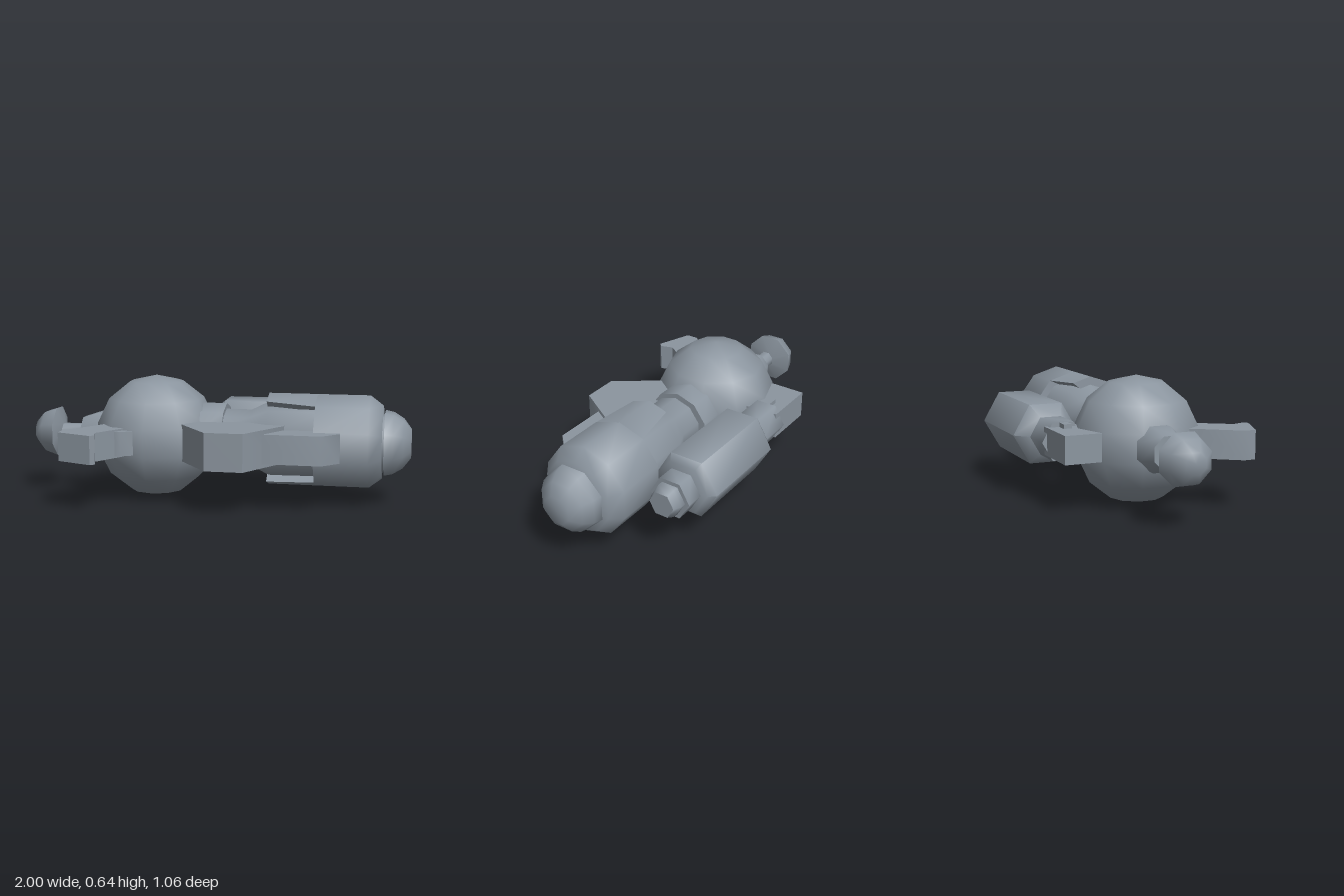
import * as THREE from 'three';
import { toCreasedNormals } from 'three/addons/utils/BufferGeometryUtils.js';

const AXIS_Y = 0.325;

export function createModel() {
  const model = new THREE.Group();
  const grey = new THREE.MeshStandardMaterial({ color: 0x8b959f });
  grey.name = 'blue grey';

  function add(name, geometry, x = 0, y = AXIS_Y, z = 0, crease = 1.1) {
    const mesh = new THREE.Mesh(toCreasedNormals(geometry, crease), grey);
    mesh.name = name;
    mesh.position.set(x, y, z);
    model.add(mesh);
    return mesh;
  }

  // Faceted solid turned about the x axis; profile holds [x, radius]
  function turned(name, sides, start, z, profile) {
    const pts = [[profile[0][0], 0], ...profile, [profile[profile.length - 1][0], 0]];
    const geo = new THREE.LatheGeometry(pts.map(([x, r]) => new THREE.Vector2(r, x)), sides, start);
    geo.rotateZ(-Math.PI / 2);
    return add(name, geo, 0, AXIS_Y, z);
  }

  // Flat block outlined in x and z, with its thickness along y
  function block(name, outline, height) {
    const shape = new THREE.Shape(outline.map(([x, z]) => new THREE.Vector2(x, z)));
    const geo = new THREE.ExtrudeGeometry(shape, { depth: height, bevelEnabled: false });
    geo.translate(0, 0, -height / 2);
    geo.rotateX(Math.PI / 2);
    return add(name, geo, 0, 0.328, 0, 0.8);
  }

  // Closed solid lofted between rings of [x, y, z] corners
  function loft(rings) {
    const n = rings[0].length;
    const index = [];
    for (let r = 0; r < rings.length - 1; r++) {
      for (let i = 0; i < n; i++) {
        const a = r * n + i, b = r * n + (i + 1) % n;
        index.push(a, b, a + n, b, b + n, a + n);
      }
    }
    const last = (rings.length - 1) * n;
    for (let i = 1; i < n - 1; i++) {
      index.push(0, i + 1, i, last, last + i, last + i + 1);
    }
    const geo = new THREE.BufferGeometry();
    geo.setAttribute('position', new THREE.Float32BufferAttribute(rings.flat(2), 3));
    geo.setIndex(index);
    return geo;
  }

  const TOP = Math.PI / 2;

  // Round chamber
  const ball = new THREE.SphereGeometry(0.321, 10, 7);
  ball.rotateY(Math.PI / 10);
  add('chamber', ball, -0.33, 0.324, 0.005);

  // Collar, neck and barrel
  turned('collar', 10, TOP, 0, [[-0.08, 0.178], [0.045, 0.178]]);
  turned('neck', 10, TOP, 0.01, [[-0.1, 0.15], [0.18, 0.15], [0.28, 0.2], [0.55, 0.2]]);
  turned('barrel', 10, TOP, 0.01, [[0.52, 0.24], [0.79, 0.24], [0.855, 0.19]]);
  turned('muzzleJoint', 8, Math.PI / 8, 0.015, [[0.84, 0.15], [0.88, 0.15]]);
  turned('muzzle', 8, Math.PI / 8, 0.015, [[0.865, 0.172], [0.91, 0.162], [0.96, 0.13], [1, 0.075]]);

  // Tapered tongues reaching back from the barrel, above and below
  const tongueRing = (x, half, side) =>
    [[x, 0.24, 0], [x, side, half], [x, 0.13, 0], [x, side, -half]];
  for (const turn of [0, Math.PI]) {
    const geo = loft([tongueRing(0.27, 0.1, 0.208), tongueRing(0.53, 0.141, 0.194)]);
    add(turn ? 'lowerTongue' : 'upperTongue', geo, 0, AXIS_Y, 0.01, 0.8).rotation.x = turn;
  }

  // Rear plunger: cuff, rod and knob
  turned('cuff', 8, Math.PI / 8, -0.01, [[-0.735, 0.088], [-0.65, 0.118], [-0.58, 0.118]]);
  turned('rod', 8, Math.PI / 8, -0.01, [[-0.88, 0.045], [-0.7, 0.045]]);
  turned('knob', 8, Math.PI / 8, -0.015,
    [[-1, 0.055], [-0.95, 0.112], [-0.88, 0.135], [-0.85, 0.04]]);

  // Grip, trigger and front hand guard
  block('grip', [[-0.56, 0.15], [-0.6, 0.22], [-0.725, 0.395], [-0.725, 0.455],
    [-0.54, 0.525], [-0.52, 0.505], [-0.54, 0.44], [-0.41, 0.24], [-0.36, 0.15]], 0.145);
  block('trigger', [[-0.47, 0.15], [-0.47, 0.335], [-0.44, 0.335], [-0.375, 0.295], [-0.375, 0.15]], 0.125);
  block('handGuard', [[-0.165, 0.06], [-0.165, 0.21], [0.015, 0.457], [0.205, 0.457],
    [0.37, 0.19], [0.37, 0.06]], 0.19);
  block('guardExtension', [[0.2, 0.1], [0.2, 0.335], [0.57, 0.335], [0.655, 0.25], [0.655, 0.1]], 0.148);

  // Side tank with its cap and nozzle
  const TANK_Z = -0.356;
  turned('tank', 6, 0, TANK_Z,
    [[-0.085, 0.11], [-0.015, 0.175], [0.485, 0.175], [0.515, 0.14]]);
  turned('tankNeck', 6, 0, TANK_Z, [[-0.26, 0.11], [-0.06, 0.11]]);
  turned('tankSpindle', 6, 0, TANK_Z, [[0.5, 0.09], [0.54, 0.09]]);
  turned('tankCap', 6, 0, TANK_Z, [[0.527, 0.11], [0.622, 0.11]]);
  turned('tankNozzle', 6, 0, TANK_Z, [[0.61, 0.088], [0.65, 0.086], [0.69, 0.068]]);

  // Bracket joining the tank to the chamber, with its pin
  block('tankBracket', [[-0.5, -0.44], [-0.22, -0.44], [-0.2, -0.15], [-0.5, -0.15]], 0.14);
  add('bracketPin', new THREE.BoxGeometry(0.12, 0.19, 0.042), -0.26, AXIS_Y, -0.355);

  return model;
}
